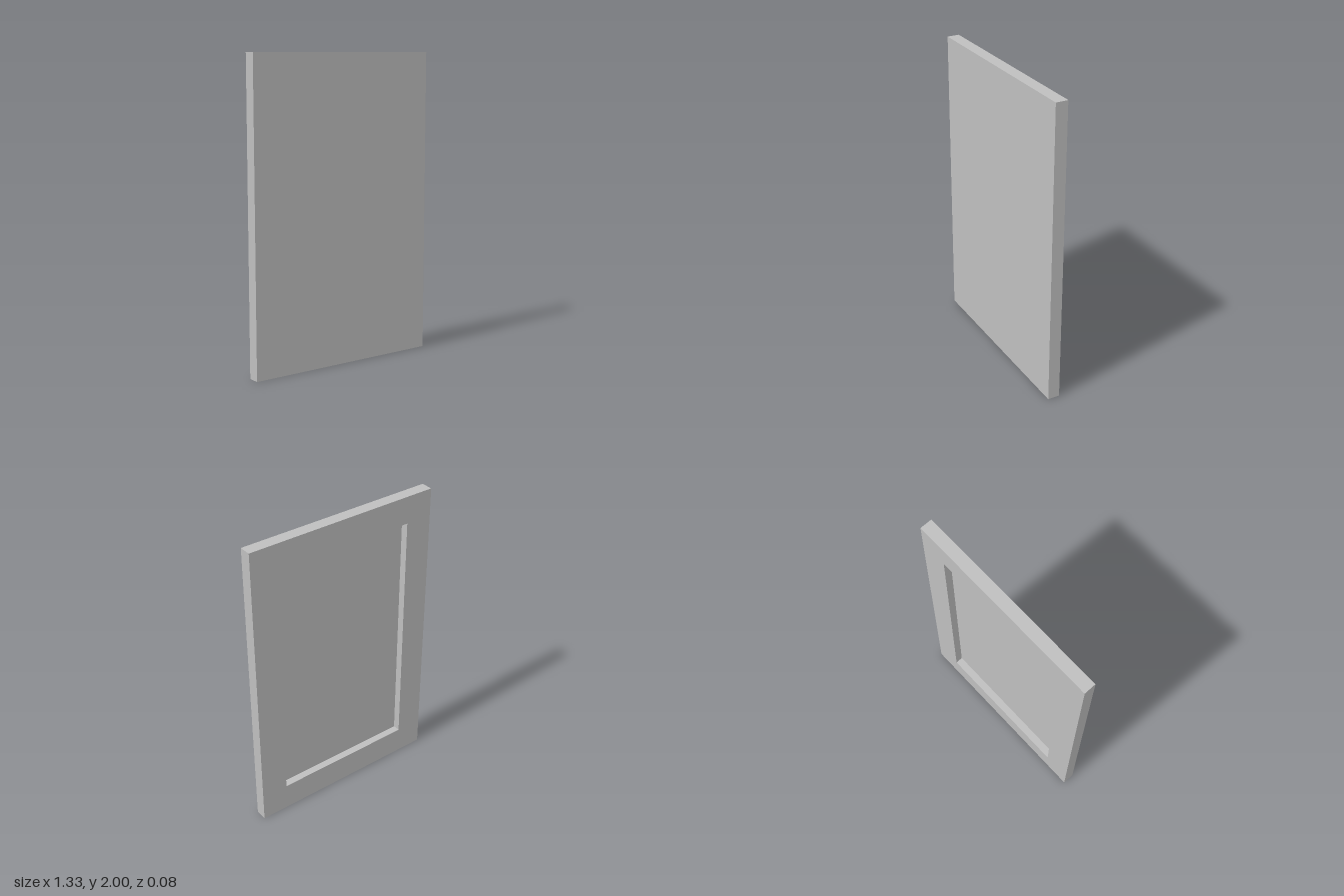
import * as THREE from 'three';

const W = 1.33, H = 2, FRONT = 0.04, BACK = -0.04;
const FRAME = 0.183; // width of the border around the recess
const FLOOR = 0.01; // z of the recessed panel

// Four corners of a rectangle inset from the door outline, at depth z
function ring(inset, z) {
  const x = W / 2 - inset, y0 = inset, y1 = H - inset;
  return [[-x, y0, z], [x, y0, z], [x, y1, z], [-x, y1, z]];
}

// Mesh made from separate four-cornered faces, so every edge stays sharp
function quadMesh(name, quads, material) {
  const points = quads.flatMap(([a, b, c, d]) => [a, b, c, a, c, d]).flat();
  const geometry = new THREE.BufferGeometry();
  geometry.setAttribute('position', new THREE.Float32BufferAttribute(points, 3));
  geometry.computeVertexNormals();
  const mesh = new THREE.Mesh(geometry, material);
  mesh.name = name;
  return mesh;
}

// Faces joining one rectangle to the next
const band = (a, b) => a.map((p, i) => {
  const j = (i + 1) % 4;
  return [p, b[i], b[j], a[j]];
});

export function createModel() {
  const group = new THREE.Group();
  group.name = 'cabinetDoor';
  const grey = new THREE.MeshStandardMaterial({ color: 0xbfbfbf });
  grey.name = 'plain grey';

  const front = ring(0, FRONT);
  const back = ring(0, BACK);
  const rim = ring(FRAME, BACK);
  const floor = ring(FRAME, FLOOR);

  group.add(
    quadMesh('frontFace', [front], grey),
    quadMesh('outerEdges', band(front, back), grey),
    quadMesh('backFrame', band(back, rim), grey),
    quadMesh('recessWalls', band(rim, floor), grey),
    quadMesh('recessedPanel', [[...floor].reverse()], grey),
  );
  return group;
}
